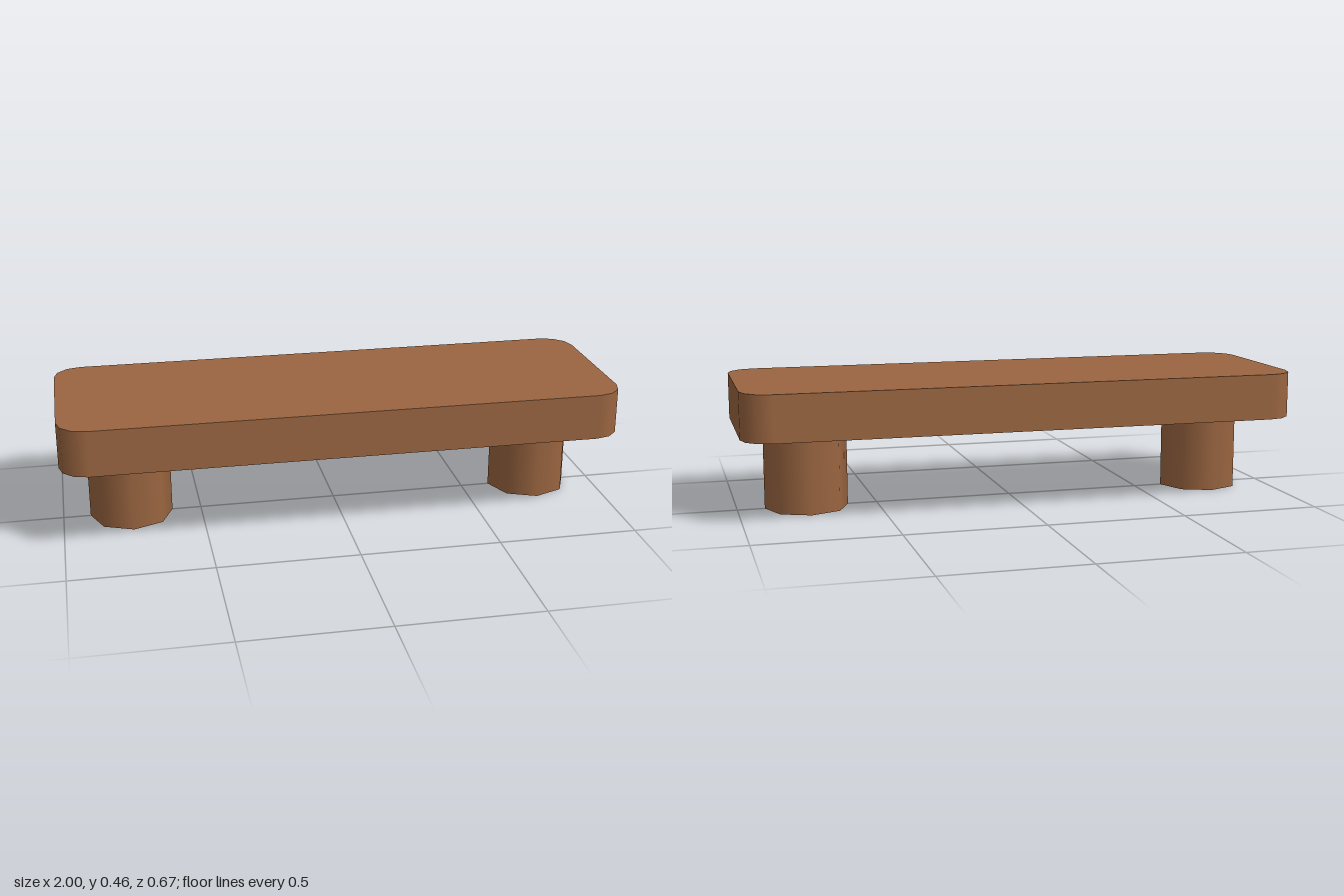
import * as THREE from 'three';

const HALF_X = 1, HALF_Z = 0.333, RADIUS = 0.1, CORNER_STEPS = 3;
const UNDER_Y = 0.295, TOP_Y = 0.46;

// Rounded rectangle outline: position and outward direction of each point
function seatOutline() {
  const points = [];
  [[1, 1], [-1, 1], [-1, -1], [1, -1]].forEach(([sx, sz], corner) => {
    for (let i = 0; i <= CORNER_STEPS; i++) {
      const a = (corner + i / CORNER_STEPS) * Math.PI / 2;
      const nx = Math.cos(a), nz = Math.sin(a);
      points.push({
        x: sx * (HALF_X - RADIUS) + RADIUS * nx,
        z: sz * (HALF_Z - RADIUS) + RADIUS * nz,
        nx, nz,
      });
    }
  });
  return points;
}

// Vertical band around the outline, open below
function skirtGeometry(outline) {
  const positions = [], normals = [], index = [];
  const n = outline.length;
  outline.forEach((p, i) => {
    positions.push(p.x, UNDER_Y, p.z, p.x, TOP_Y, p.z);
    normals.push(p.nx, 0, p.nz, p.nx, 0, p.nz);
    const a = 2 * i, b = 2 * ((i + 1) % n);
    index.push(a, a + 1, b, b, a + 1, b + 1);
  });
  const geometry = new THREE.BufferGeometry();
  geometry.setAttribute('position', new THREE.Float32BufferAttribute(positions, 3));
  geometry.setAttribute('normal', new THREE.Float32BufferAttribute(normals, 3));
  geometry.setIndex(index);
  return geometry;
}

export function createModel() {
  const wood = new THREE.MeshStandardMaterial({ color: 0x9a6540, side: THREE.DoubleSide });
  wood.name = 'brown wood';

  const model = new THREE.Group();
  model.name = 'bench';
  const add = (name, geometry) => {
    const mesh = new THREE.Mesh(geometry, wood);
    mesh.name = name;
    model.add(mesh);
    return mesh;
  };

  // Hollow seat: a flat top and a skirt
  const outline = seatOutline();
  const shape = new THREE.Shape(outline.map((p) => new THREE.Vector2(p.x, -p.z)));
  add('seatTop', new THREE.ShapeGeometry(shape).rotateX(-Math.PI / 2).translate(0, TOP_Y, 0));
  add('seatSkirt', skirtGeometry(outline));

  // Two open, eight-sided tubular legs
  const legGeometry = new THREE.CylinderGeometry(0.149, 0.149, UNDER_Y, 8, 1, true);
  for (const [name, side] of [['leftLeg', 1], ['rightLeg', -1]]) {
    add(name, legGeometry).position.set(side * 0.754, UNDER_Y / 2, 0);
  }
  return model;
}
